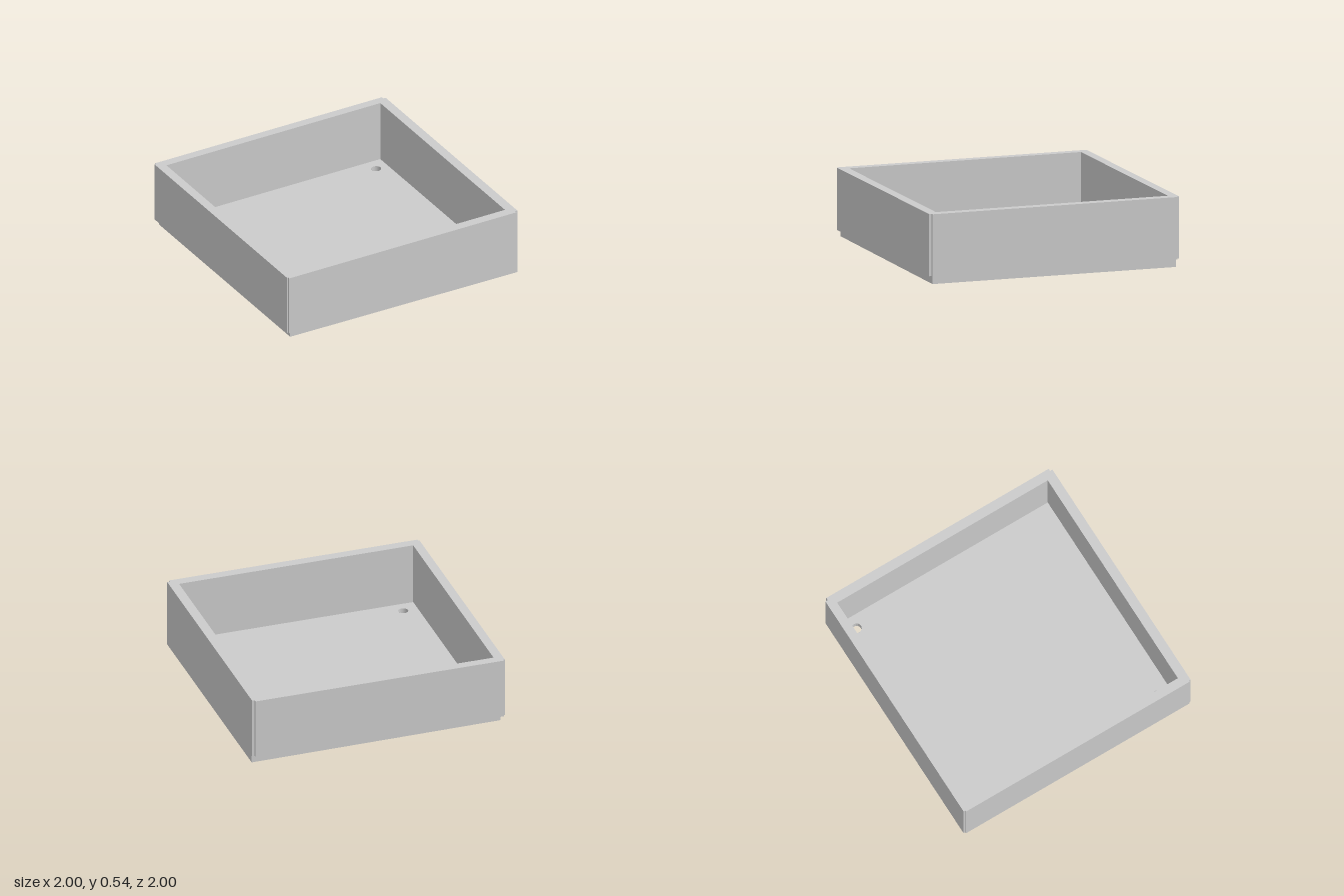
import * as THREE from 'three';

const material = new THREE.MeshStandardMaterial({ color: 0xcccccc, side: THREE.DoubleSide });

// Closed path from [x, z] corners, drawn flat with z reversed
const corners = (pts) => pts.map(([x, z]) => new THREE.Vector2(x, -z));
const rect = (x0, x1, z0, z1) => corners([[x0, z1], [x1, z1], [x1, z0], [x0, z0]]);

// Upright slab between two heights, with optional holes
function slab(outline, holes, y0, y1) {
  const shape = new THREE.Shape(outline);
  shape.holes = holes;
  const geometry = new THREE.ExtrudeGeometry(shape, { depth: y1 - y0, bevelEnabled: false, curveSegments: 16 });
  return geometry.rotateX(-Math.PI / 2).translate(0, y0, 0);
}

export function createModel() {
  const group = new THREE.Group();
  const add = (name, geometry) => {
    const mesh = new THREE.Mesh(geometry, material);
    mesh.name = name;
    group.add(mesh);
    return mesh;
  };

  const floorTop = 0.056;
  const footSpots = [[-0.82, -0.82], [0.825, -0.82], [-0.815, 0.82]];

  // Four walls with small notches at the outer corners
  const wallOutline = corners([
    [-0.99, 1], [0.98, 1], [0.98, 0.98], [1, 0.98], [1, -0.98], [0.98, -0.98],
    [0.98, -1], [-0.99, -1], [-0.99, -0.985], [-1, -0.985], [-1, 0.985], [-0.99, 0.985],
  ]);
  const inside = new THREE.Path(rect(-0.93, 0.925, -0.93, 0.925));
  add('walls', slab(wallOutline, [inside], 0.065, 0.54));

  // Ledge closing the walls down to the floor
  add('wallFooting', slab(rect(-0.965, 0.985, -0.965, 0.975), [inside], 0.05, 0.07));

  // Thin skirt under the walls, flush on one side, its lower edge slightly sloped
  const skirtHole = new THREE.Path(rect(-0.96, 0.99, -0.96, 0.97));
  const skirt = slab(rect(-0.97, 1, -0.97, 0.98), [skirtHole], 0, 0.065);
  const p = skirt.attributes.position;
  for (let i = 0; i < p.count; i++) {
    if (p.getY(i) < 0.03) p.setY(i, 0.0135 - 0.006 * p.getX(i));
  }
  skirt.computeVertexNormals();
  add('skirt', skirt);

  // Floor pierced at each foot
  const holes = footSpots.map(([x, z]) => new THREE.Path().absarc(x, -z, 0.038, 0, Math.PI * 2, true));
  add('floor', slab(rect(-0.965, 0.995, -0.965, 0.975), holes, 0.045, floorTop));

  // Hollow feet with a chamfered tip
  const profile = [[0.038, floorTop], [0.038, 0], [0.047, 0], [0.052, 0.012], [0.052, 0.05]]
    .map(([r, y]) => new THREE.Vector2(r, y));
  const footGeometry = new THREE.LatheGeometry(profile, 16).toNonIndexed();
  footGeometry.computeVertexNormals();
  for (const [x, z] of footSpots) add('foot', footGeometry).position.set(x, 0, z);

  return group;
}
